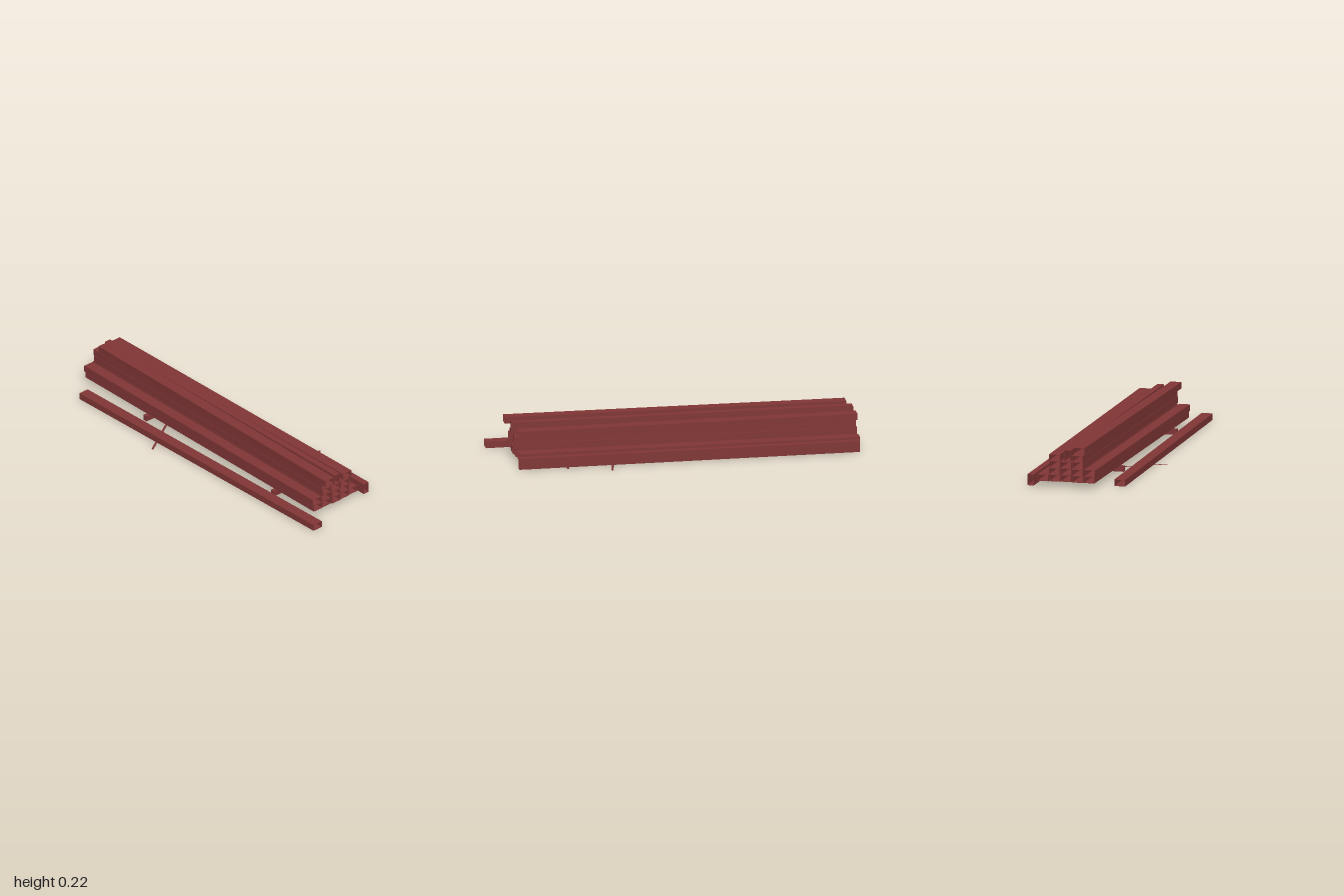
import * as THREE from 'three';

const LENGTH = 1.88, WIDE = 0.061, THIN = 0.036, WALL = 0.002;

// Rectangular hollow section, open at both ends, centred on its axis
function tubeGeometry(w, h) {
  const rect = (target, a, b) => {
    target.moveTo(-a, -b);
    target.lineTo(a, -b);
    target.lineTo(a, b);
    target.lineTo(-a, b);
    target.closePath();
    return target;
  };
  const shape = rect(new THREE.Shape(), w / 2, h / 2);
  shape.holes.push(rect(new THREE.Path(), w / 2 - WALL, h / 2 - WALL));
  const geometry = new THREE.ExtrudeGeometry(shape, { depth: LENGTH, bevelEnabled: false });
  return geometry.translate(0, 0, -LENGTH / 2);
}

export function createModel() {
  const group = new THREE.Group();
  const steel = new THREE.MeshStandardMaterial({ color: 0x803535, side: THREE.DoubleSide });
  steel.name = 'red oxide steel';

  const add = (name, geometry, x, y, z, yaw = 0) => {
    const mesh = new THREE.Mesh(geometry, steel);
    mesh.name = name;
    mesh.position.set(x, y, z);
    mesh.rotation.y = yaw;
    group.add(mesh);
  };

  const flat = tubeGeometry(WIDE, THIN);
  const upright = tubeGeometry(THIN, WIDE);

  // Stacked tubes: height of each row and [x, z] of each tube in it
  const rows = [
    [0.050, [[-0.117, -0.052], [-0.053, -0.055], [0.014, -0.05], [0.077, -0.055], [0.141, -0.06]]],
    [0.087, [[-0.122, -0.055], [-0.053, -0.06], [0.013, -0.05], [0.078, -0.055]]],
    [0.125, [[-0.053, -0.052], [0.013, -0.055], [0.077, -0.05]]],
    [0.163, [[-0.053, -0.058]]],
  ];
  for (const [y, tubes] of rows) {
    for (const [x, z] of tubes) add('stackedTube', flat, x, y, z);
  }

  // Crooked tubes on top of the stack
  add('topTubeUpright', upright, 0.011, 0.1755, -0.045, 0.0045);
  add('topTubeSkewed', flat, 0.088, 0.163, -0.058, 0.012);
  add('topTubeHighest', flat, -0.058, 0.2, -0.018, -0.006);

  // Loose tubes lying beside the stack
  add('looseTubeRight', flat, -0.238, 0.0195, 0.06, 0.022);
  add('looseTubeLeft', upright, 0.221, 0.0325, -0.05, 0.0085);

  // Bearers under the stack
  const bearer = new THREE.BoxGeometry(0.365, 0.031, 0.025);
  for (const z of [-0.475, 0.573]) add('bearer', bearer, 0.0125, 0.0155, z);

  // Flat strips on the ground
  const strip = new THREE.BoxGeometry(0.33, 0.0008, 0.012);
  add('groundStrip', strip, 0.174, 0.0005, 0.361, -0.2);
  add('groundStrip', strip, 0.107, 0.0005, 0.625);
  add('groundStrip', strip, -0.2, 0.0005, -0.31, 0.565);

  return group;
}
